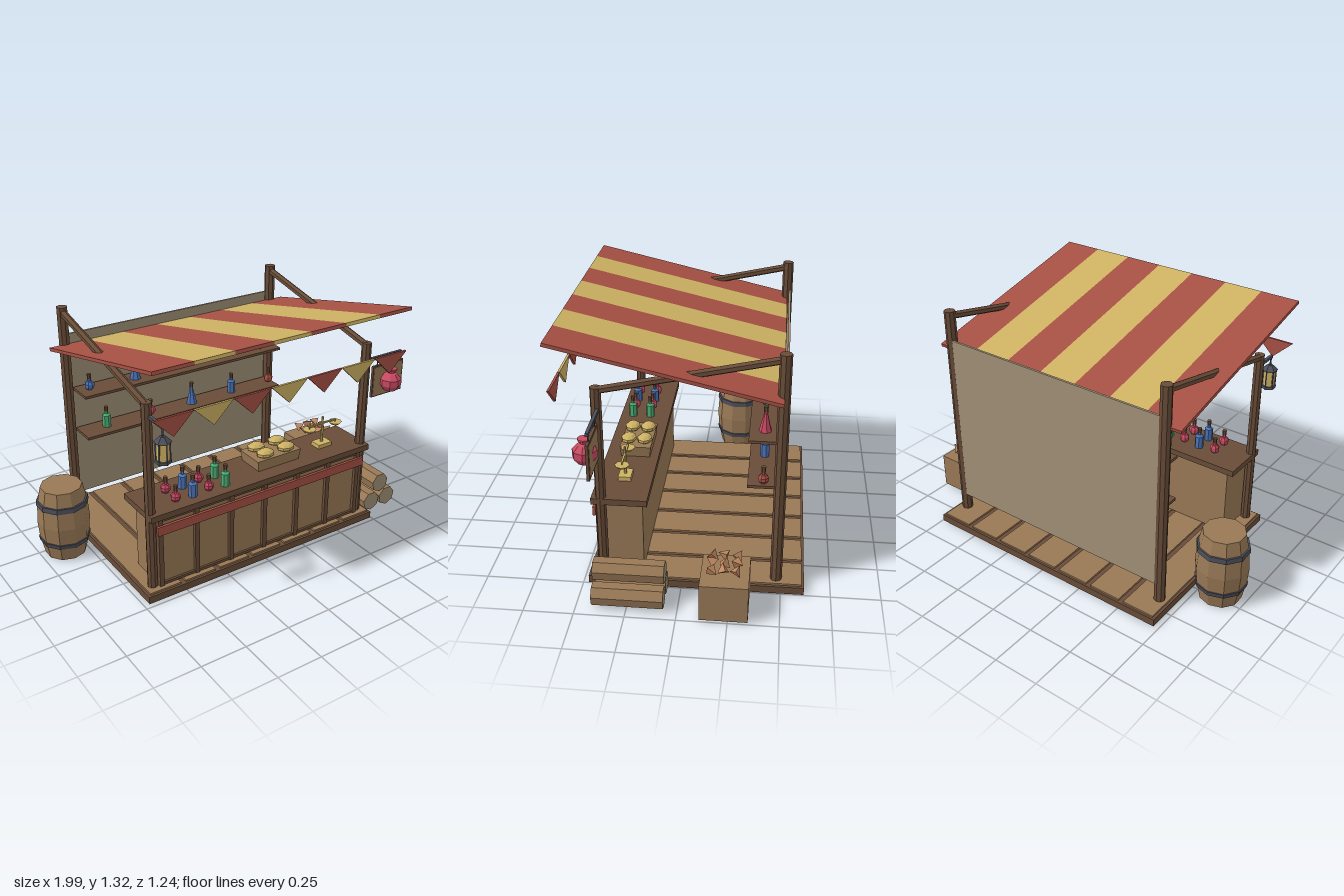
import * as THREE from 'three';

const paint = (name, color) => {
  const m = new THREE.MeshStandardMaterial({ color, flatShading: true });
  m.name = name;
  return m;
};

export function createModel() {
  const root = new THREE.Group();
  root.name = 'marketStall';
  const darkWood = paint('dark wood', 0x684c38);
  const wood = paint('wood', 0x997956);
  const red = paint('red', 0xa65044);
  const yellow = paint('yellow', 0xcdb163);
  const cloth = paint('canvas', 0xa08f76);
  const metal = paint('iron', 0x4c4e59);
  const pink = paint('pink', 0xc84a62);
  const green = paint('green', 0x4cae74);
  const blue = paint('blue', 0x4c74b8);
  const orange = paint('orange brown', 0xc08860);

  const add = (name, geo, mat, x = 0, y = 0, z = 0, parent = root) => {
    const m = new THREE.Mesh(geo, mat);
    m.name = name;
    m.position.set(x, y, z);
    parent.add(m);
    return m;
  };
  // box given by its limits
  const box = (name, mat, x0, x1, y0, y1, z0, z1) =>
    add(name, new THREE.BoxGeometry(x1 - x0, y1 - y0, z1 - z0), mat, (x0 + x1) / 2, (y0 + y1) / 2, (z0 + z1) / 2);
  const cyl = (name, mat, rTop, rBottom, y0, y1, x, z, sides = 8, parent = root) =>
    add(name, new THREE.CylinderGeometry(rTop, rBottom, y1 - y0, sides), mat, x, (y0 + y1) / 2, z, parent);
  // round bar between two points
  const strut = (name, mat, a, b, r, sides = 8) => {
    const p = new THREE.Vector3(...a), q = new THREE.Vector3(...b);
    const m = add(name, new THREE.CylinderGeometry(r, r, p.distanceTo(q), sides), mat);
    m.position.copy(p).add(q).multiplyScalar(0.5);
    m.quaternion.setFromUnitVectors(new THREE.Vector3(0, 1, 0), q.sub(p).normalize());
    return m;
  };
  const CX = 0.012;

  // platform with planks
  box('platform', darkWood, -0.72, 0.745, 0, 0.04, -0.617, 0.473);
  for (let i = 0; i < 7; i++) {
    const x = CX + (i - 3) * 0.2095;
    box('plank', wood, x - 0.09, x + 0.09, 0.035, 0.05, -0.605, 0.46);
  }

  // posts and rafters
  for (const s of [-1, 1]) {
    const x = CX + s * 0.672;
    cyl('frontPost', darkWood, 0.027, 0.027, 0.03, 1.077, x, 0.402);
    cyl('backPost', darkWood, 0.03, 0.03, 0.03, 1.28, x, -0.475);
    strut('rafter', darkWood, [x, 1.06, 0.4], [x, 1.25, -0.47], 0.02, 6);
  }

  // striped awning and bunting
  const awning = new THREE.Group();
  awning.name = 'awning';
  awning.position.set(CX, 1.187, 0.0725);
  awning.rotation.x = -0.229;
  root.add(awning);
  const W = 1.515 / 7;
  const flag = new THREE.Shape([[-0.107, 0], [0, -0.103], [0.107, 0]].map(p => new THREE.Vector2(...p)));
  const flagGeo = new THREE.ExtrudeGeometry(flag, { depth: 0.012, bevelEnabled: false });
  for (let i = 0; i < 7; i++) {
    const mat = i % 2 ? yellow : red;
    add('awningStripe', new THREE.BoxGeometry(W, 0.018, 1.124), mat, (i - 3) * W, 0, 0, awning);
    add('pennant', flagGeo, mat, CX + (i - 3) * W, 1.083, 0.599);
  }

  // back cloth and shelves
  box('backCloth', cloth, -0.65, 0.675, 0.15, 1.12, -0.496, -0.484);
  for (const y of [0.555, 0.8]) box('shelf', darkWood, -0.632, 0.657, y, y + 0.015, -0.47, -0.316);

  // counter
  box('counterBody', wood, -0.632, 0.657, 0.05, 0.44, 0.2, 0.42);
  box('counterTop', darkWood, -0.68, 0.71, 0.447, 0.48, 0.17, 0.45);
  box('counterTopRail', darkWood, -0.632, 0.657, 0.425, 0.45, 0.21, 0.432);
  box('counterBottomRail', darkWood, -0.632, 0.657, 0.05, 0.065, 0.41, 0.432);
  for (let i = 0; i < 7; i++) {
    const x = CX + (i - 3) * 0.2115;
    box('counterBatten', darkWood, x - 0.013, x + 0.013, 0.05, 0.44, 0.41, 0.438);
  }
  box('counterTrim', red, -0.645, 0.675, 0.36, 0.41, 0.435, 0.45);

  // potion bottles: round, jar or cone body with a neck
  const bottle = (kind, mat, x, y, z) => {
    const g = new THREE.Group();
    g.name = kind + 'Bottle';
    g.position.set(x, y, z);
    root.add(g);
    let neck = 0.05;
    if (kind === 'round') add('flask', new THREE.SphereGeometry(0.028, 7, 5), mat, 0, 0.027, 0, g);
    else if (kind === 'jar') {
      cyl('flask', mat, 0.024, 0.024, 0, 0.07, 0, 0, 7, g);
      cyl('shoulder', mat, 0.011, 0.024, 0.07, 0.08, 0, 0, 7, g);
      neck = 0.078;
    } else {
      cyl('flask', mat, 0.01, 0.032, 0, 0.09, 0, 0, 7, g);
      neck = 0.088;
    }
    cyl('neck', mat, 0.01, 0.01, neck - 0.005, neck + 0.02, 0, 0, 6, g);
    cyl('cork', darkWood, 0.012, 0.01, neck + 0.015, neck + 0.043, 0, 0, 6, g);
  };
  const upper = [['round', blue, -0.57], ['cone', blue, -0.29], ['jar', red, -0.01], ['round', green, 0.265], ['cone', pink, 0.545]];
  const lower = [['jar', green, -0.48], ['round', pink, -0.2], ['cone', blue, 0.075], ['jar', blue, 0.355], ['round', red, 0.63]];
  const counter = [['round', pink, -0.5], ['jar', blue, -0.4], ['round', pink, -0.305], ['jar', green, -0.205]];
  for (const [k, m, x] of upper) bottle(k, m, x, 0.815, -0.393);
  for (const [k, m, x] of lower) bottle(k, m, x, 0.57, -0.393);
  for (const [k, m, x] of counter) for (const z of [0.28, 0.38]) bottle(k, m, x, 0.48, z);

  // tray of loaves
  const tray = add('tray', new THREE.CylinderGeometry(0.1414, 0.132, 0.06, 4, 1).rotateY(Math.PI / 4), wood, 0.147, 0.513, 0.292);
  tray.scale.set(1.41, 1, 0.82);
  for (const x of [0.08, 0.215]) for (const z of [0.25, 0.335])
    add('loaf', new THREE.SphereGeometry(1, 8, 5), yellow, x, 0.56, z).scale.set(0.053, 0.024, 0.042);

  // balance scale
  const sx = 0.485, sz = 0.31;
  box('scaleBase', yellow, sx - 0.045, sx + 0.045, 0.48, 0.503, sz - 0.033, sz + 0.033);
  cyl('scalePole', yellow, 0.006, 0.008, 0.5, 0.655, sx, sz, 6);
  box('scaleBeam', yellow, sx - 0.093, sx + 0.093, 0.612, 0.62, sz - 0.005, sz + 0.005);
  for (const s of [-1, 1]) {
    cyl('scaleHanger', yellow, 0.003, 0.003, 0.6, 0.615, sx + s * 0.09, sz, 5);
    cyl('scalePan', yellow, 0.038, 0.025, 0.588, 0.602, sx + s * 0.09, sz, 8);
  }

  // lantern on its bracket
  const lx = -0.657, lz = 0.543;
  box('lanternArm', metal, lx - 0.008, lx + 0.008, 1, 1.016, 0.4, 0.55);
  cyl('lanternHook', metal, 0.005, 0.005, 0.955, 1.005, lx, lz, 5);
  cyl('lanternLid', metal, 0.015, 0.045, 0.933, 0.96, lx, lz, 6);
  cyl('lanternGlass', yellow, 0.032, 0.032, 0.838, 0.935, lx, lz, 6);
  cyl('lanternBase', metal, 0.04, 0.04, 0.824, 0.84, lx, lz, 6);
  for (let i = 0; i < 6; i++) {
    const a = i * Math.PI / 3;
    cyl('lanternBar', metal, 0.004, 0.004, 0.835, 0.938, lx + Math.sin(a) * 0.034, lz + Math.cos(a) * 0.034, 4);
  }

  // hanging sign with a round flask
  box('signArm', metal, 0.7, 0.952, 0.958, 0.974, 0.385, 0.401);
  for (const x of [0.782, 0.925]) cyl('signHook', metal, 0.004, 0.004, 0.915, 0.962, x, 0.393, 5);
  box('signBoard', darkWood, 0.748, 0.967, 0.737, 0.92, 0.386, 0.4);
  box('signFace', wood, 0.756, 0.959, 0.745, 0.912, 0.384, 0.402);
  const flaskProfile = [[0, 0.774], [0.038, 0.774], [0.06, 0.805], [0.06, 0.84], [0.034, 0.868], [0.022, 0.875], [0.022, 0.885], [0.032, 0.888], [0.032, 0.898], [0, 0.898]];
  add('signFlask', new THREE.LatheGeometry(flaskProfile.map(p => new THREE.Vector2(...p)), 8), pink, 0.855, 0, 0.428);

  // barrel
  const bx = -0.858, bz = -0.208;
  const staves = [[0, 0], [0.112, 0], [0.133, 0.1], [0.141, 0.2], [0.133, 0.305], [0.112, 0.405], [0, 0.405]];
  add('barrel', new THREE.LatheGeometry(staves.map(p => new THREE.Vector2(...p)), 10), wood, bx, 0, bz);
  cyl('barrelHoop', metal, 0.138, 0.14, 0.3, 0.328, bx, bz, 10);
  cyl('barrelHoop', metal, 0.14, 0.134, 0.08, 0.106, bx, bz, 10);

  // crate with a heap of chunks
  box('crate', wood, 0.737, 0.997, 0.01, 0.208, -0.348, -0.112);
  for (let i = 0; i < 9; i++) {
    const c = add('chunk', new THREE.TetrahedronGeometry(0.036), orange, 0.805 + (i % 3) * 0.062, 0.256 + (i % 2) * 0.006, -0.285 + Math.floor(i / 3) * 0.06);
    c.rotation.set(i * 1.3, i * 2.1, i * 0.7);
  }

  // stacked logs with pale cut ends
  const logGeo = new THREE.CylinderGeometry(0.058, 0.058, 0.353, 7).rotateX(Math.PI / 2);
  for (const [x, y] of [[0.855, 0.172], [0.797, 0.066], [0.915, 0.066]])
    add('log', logGeo, [wood, cloth, cloth], x, y, 0.242);

  return root;
}
